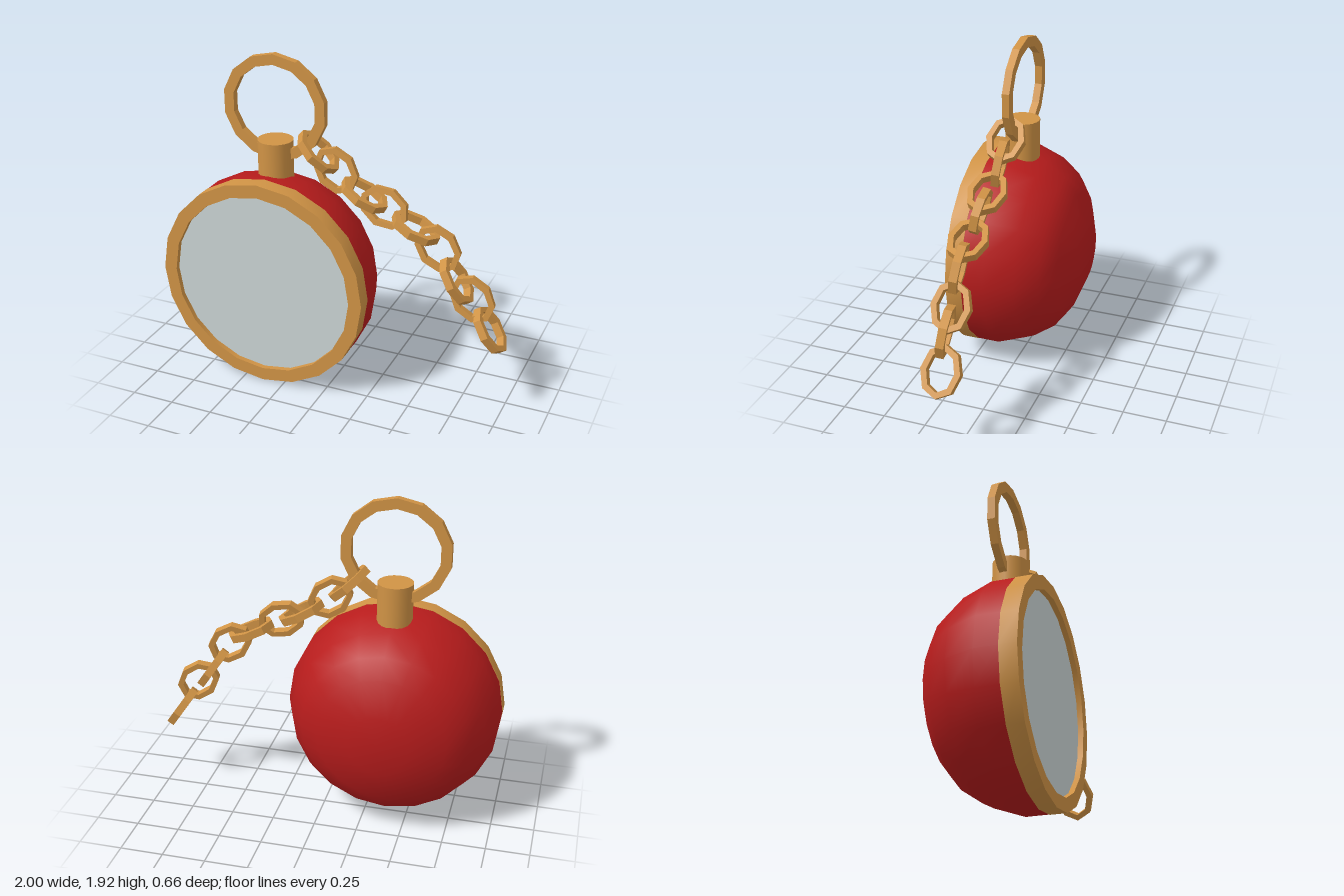
import * as THREE from 'three';
import { toCreasedNormals } from 'three/addons/utils/BufferGeometryUtils.js';

const mat = (name, color) => new THREE.MeshStandardMaterial({ name, color });

// Polygon points on an ellipse, clockwise from the top
function loop(rx, ry, sides) {
  return Array.from({ length: sides }, (_, i) => {
    const a = (i / sides) * Math.PI * 2;
    return new THREE.Vector2(Math.sin(a) * rx, Math.cos(a) * ry);
  });
}

// Flat band with a square section, centred on its own origin, facing z
function band(rx, ry, width, depth, sides) {
  // The outline runs counter-clockwise and the hole clockwise, so all walls face outward
  const shape = new THREE.Shape(loop(rx, ry, sides).reverse());
  shape.holes.push(new THREE.Path(loop(rx - width, ry - width, sides)));
  const geo = new THREE.ExtrudeGeometry(shape, { depth, bevelEnabled: false });
  geo.translate(0, 0, -depth / 2);
  return toCreasedNormals(geo, 0.4);
}

export function createModel() {
  const gold = mat('gold', 0xd09345);
  const red = mat('red enamel', 0xb81c1c);
  const glass = mat('pale glass', 0xcbd5d5);

  const model = new THREE.Group();
  model.name = 'pocketWatch';
  const add = (parent, name, geo, material, x, y, z) => {
    const mesh = new THREE.Mesh(geo, material);
    mesh.name = name;
    mesh.position.set(x, y, z);
    parent.add(mesh);
  };
  const cx = -0.38, cy = 0.622;

  // Domed back of the case
  const profile = [
    [0, -0.33], [0.175, -0.33], [0.37, -0.255], [0.475, -0.18],
    [0.56, -0.06], [0.62, 0.105], [0.62, 0.236],
  ].map(([r, z]) => new THREE.Vector2(r, z));
  const dome = new THREE.LatheGeometry(profile, 20);
  dome.rotateX(Math.PI / 2);
  add(model, 'caseBack', dome, red, cx, cy, 0);

  // Front rim and the slightly sunken glass
  add(model, 'bezel', band(0.622, 0.622, 0.077, 0.095, 20), gold, cx, cy, 0.283);
  add(model, 'glass', new THREE.ShapeGeometry(new THREE.Shape(loop(0.55, 0.55, 20))), glass, cx, cy, 0.3);

  // Winding stem and bow ring
  add(model, 'stem', new THREE.CylinderGeometry(0.101, 0.101, 0.29, 20), gold, cx, 1.285, 0.085);
  add(model, 'bow', band(0.312, 0.305, 0.06, 0.043, 14), gold, cx, 1.614, 0.077);

  // Chain: x, y, z, downward slope in degrees; every other link is turned edge-on
  const chain = new THREE.Group();
  chain.name = 'chain';
  model.add(chain);
  const links = [
    [-0.116, 1.395, 0.09, 43],
    [-0.012, 1.303, 0.085, 48],
    [0.16, 1.19, 0.095, 28],
    [0.277, 1.135, 0.09, 25],
    [0.46, 1.045, 0.088, 23],
    [0.592, 0.947, 0.09, 45],
    [0.705, 0.77, 0.088, 56],
    [0.798, 0.677, 0.085, 50],
    [0.903, 0.495, 0.068, 56],
  ];
  links.forEach(([x, y, z, slope], i) => {
    const geo = band(0.144, 0.113, 0.034, 0.045, 8);
    geo.rotateX(i % 2 ? -0.2 : Math.PI / 2);
    geo.rotateZ(-slope * Math.PI / 180);
    add(chain, 'chainLink' + (i + 1), geo, gold, x, y, z);
  });

  return model;
}
